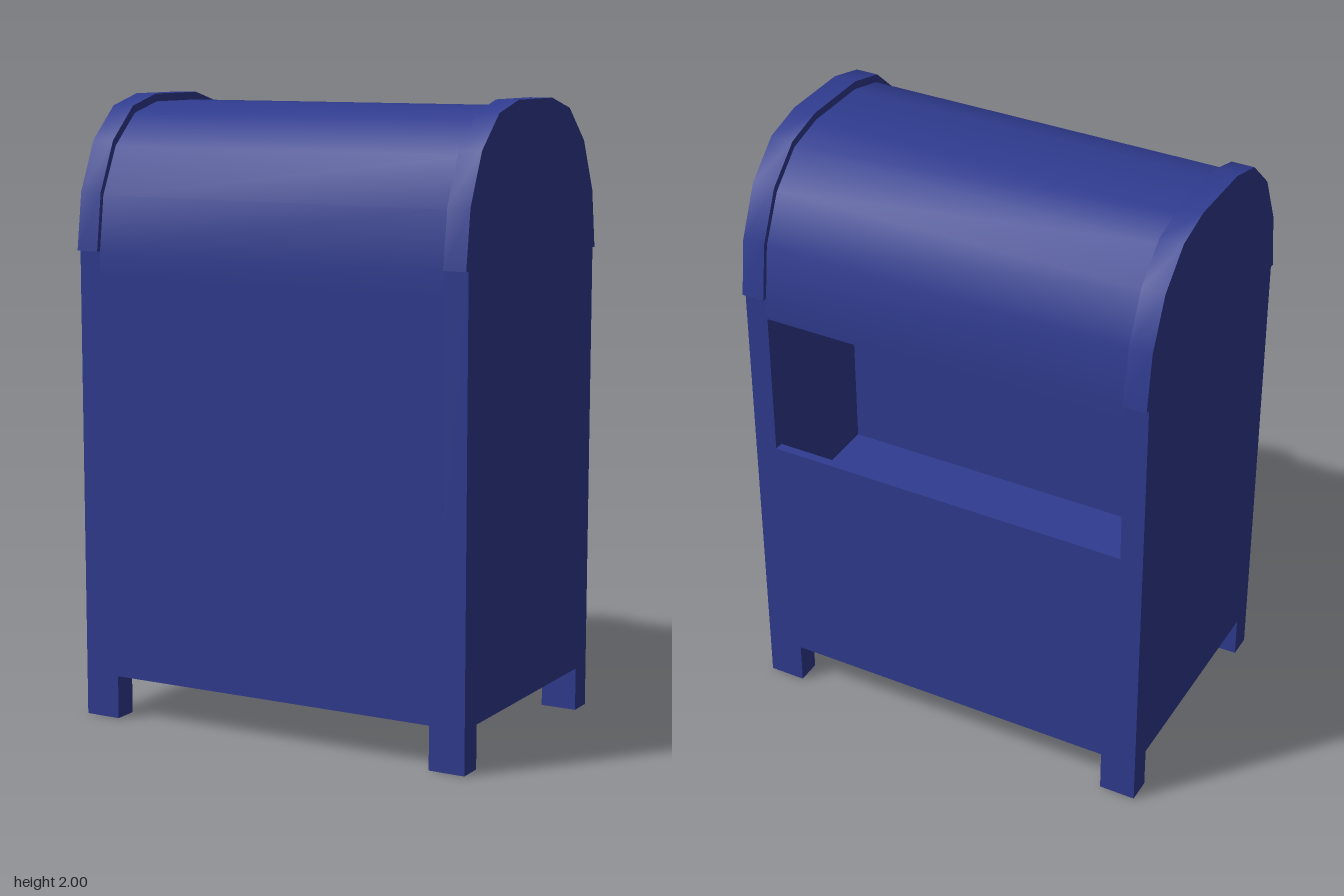
import * as THREE from 'three';
import { toCreasedNormals } from 'three/addons/utils/BufferGeometryUtils.js';

const W = 0.685, D = 0.447;          // half width and half depth of the body
const INNER = 0.61;                  // inner face of the side walls
const LEG_W = 0.12, LEG_D = 0.08;    // foot section
const BASE = 0.14, RECESS = 0.38;    // underside and top of the recess below
const FLOOR = 0.7, SLOT_LOW = 0.95, SLOT_HIGH = 1.44, EAVE = 1.515;

export function createModel() {
  const group = new THREE.Group();
  const paint = new THREE.MeshStandardMaterial({ color: 0x303c90 });

  const add = (name, geometry) => {
    const mesh = new THREE.Mesh(geometry, paint);
    mesh.name = name;
    group.add(mesh);
    return mesh;
  };

  // Box given by its limits on each axis
  const box = (name, x0, x1, y0, y1, z0, z1) => {
    const g = new THREE.BoxGeometry(x1 - x0, y1 - y0, z1 - z0);
    g.translate((x0 + x1) / 2, (y0 + y1) / 2, (z0 + z1) / 2);
    return add(name, g);
  };

  // Mirrored arch profile (depth, height) extruded across x
  const arch = (name, half, x0, x1) => {
    const mirrored = half.map(([z, y]) => [-z, y]).reverse();
    const shape = new THREE.Shape([...half, ...mirrored].map(([z, y]) => new THREE.Vector2(z, y)));
    const g = new THREE.ExtrudeGeometry(shape, { depth: x1 - x0, bevelEnabled: false });
    g.rotateY(Math.PI / 2);
    g.translate(x0, 0, 0);
    return add(name, toCreasedNormals(g, 0.6));
  };

  // Hollow base ring, open underneath
  const ring = new THREE.Shape();
  ring.moveTo(-W, -D).lineTo(W, -D).lineTo(W, D).lineTo(-W, D).closePath();
  const hx = W - LEG_W, hz = D - LEG_D;
  const hole = new THREE.Path();
  hole.moveTo(-hx, -hz).lineTo(-hx, hz).lineTo(hx, hz).lineTo(hx, -hz).closePath();
  ring.holes.push(hole);
  const baseGeometry = new THREE.ExtrudeGeometry(ring, { depth: RECESS - BASE, bevelEnabled: false });
  baseGeometry.rotateX(-Math.PI / 2);
  baseGeometry.translate(0, BASE, 0);
  add('baseRing', baseGeometry);

  // Solid lower body, front block and lip under the rear opening
  box('lowerBody', -W, W, RECESS, FLOOR, -D, D);
  box('frontBody', -INNER, INNER, FLOOR, SLOT_HIGH, 0.045, D);
  box('rearLip', -INNER, INNER, FLOOR, SLOT_LOW, -D, -D + 0.03);

  // Rounded roof, whose flat bottom is the ceiling of the opening
  arch('roof', [[D, SLOT_HIGH], [D, EAVE], [0.424, 1.69], [0.352, 1.842],
    [0.243, 1.942], [0.115, 1.975]], -INNER, INNER);

  for (const s of [-1, 1]) {
    const [x0, x1] = s < 0 ? [-W, -INNER] : [INNER, W];
    box('sideWall', x0, x1, FLOOR, EAVE, -D, D);

    // Raised faceted end cap
    arch('endCap', [[0.463, EAVE], [0.438, 1.7], [0.366, 1.86],
      [0.252, 1.965], [0.12, 2]], x0, x1);

    // Feet
    for (const t of [-1, 1]) {
      const cx = s * (W - LEG_W / 2), cz = t * (D - LEG_D / 2);
      box('foot', cx - LEG_W / 2, cx + LEG_W / 2, 0, BASE, cz - LEG_D / 2, cz + LEG_D / 2);
    }
  }
  return group;
}
